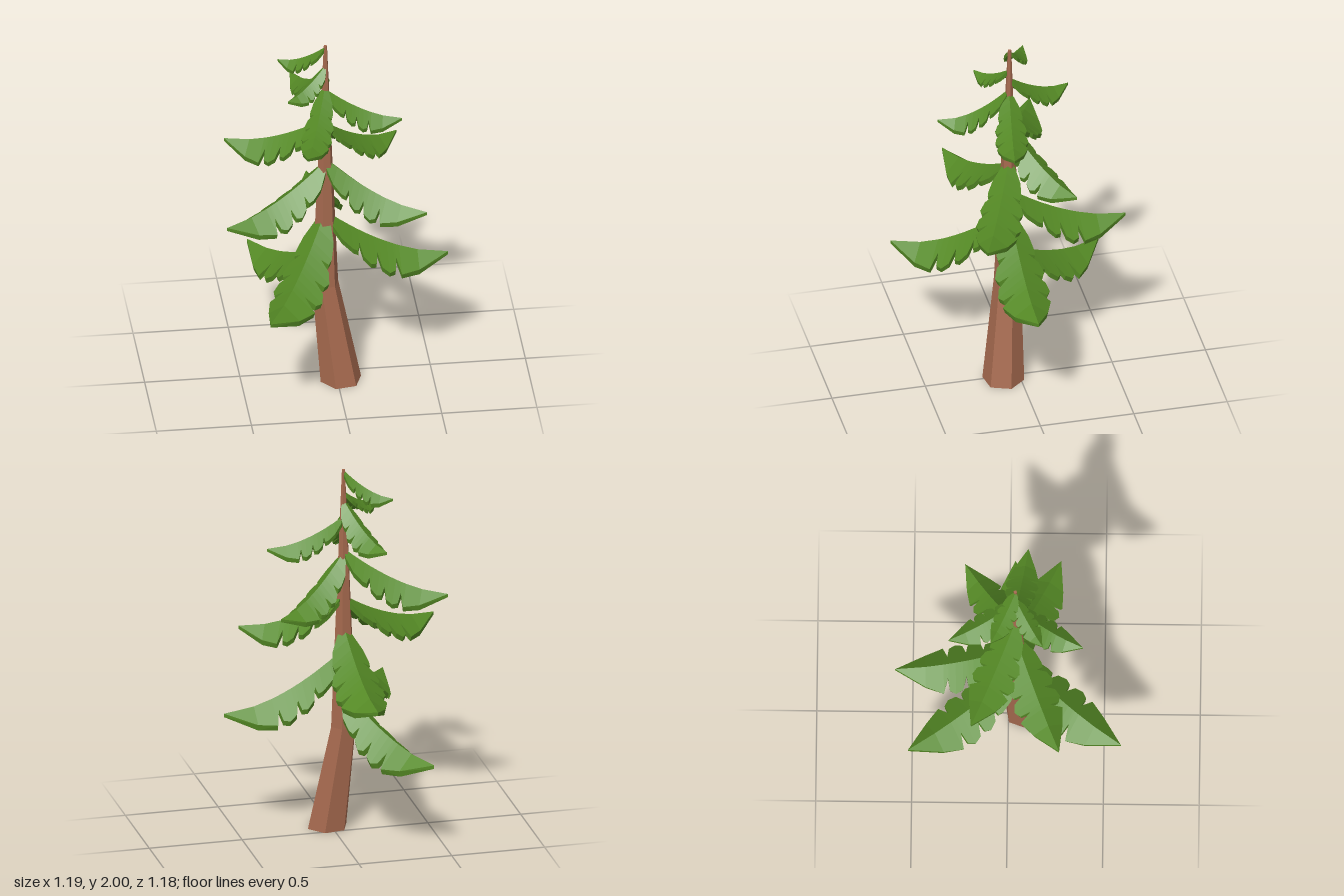
import * as THREE from 'three';

const bark = new THREE.MeshStandardMaterial({ color: 0xa5694e });
bark.name = 'bark';
bark.flatShading = true;
const needles = new THREE.MeshStandardMaterial({ color: 0x558a25 });
needles.name = 'needle green';
needles.flatShading = true;

// Flat-shaded geometry from a list of triangle corners
function fromCorners(corners) {
  const g = new THREE.BufferGeometry();
  g.setAttribute('position', new THREE.Float32BufferAttribute(corners.flat(), 3));
  g.computeVertexNormals();
  return g;
}

// Bent, tapering six-sided trunk: rings of [x, y, z, radius]
function trunkGeometry() {
  const rings = [[0.02, 0, 0.087, 0.11], [-0.058, 0.57, 0.047, 0.071], [-0.055, 2, 0.036, 0.009]];
  const at = ([x, y, z, r], k) => {
    const a = (-10 + 60 * k) * Math.PI / 180;
    return [x + r * Math.cos(a), y, z + r * Math.sin(a)];
  };
  const out = [];
  const [base, top] = [rings[0], rings[rings.length - 1]];
  for (let k = 0; k < 6; k++) {
    for (let i = 0; i < rings.length - 1; i++) {
      const a = at(rings[i], k), b = at(rings[i], k + 1);
      const c = at(rings[i + 1], k + 1), d = at(rings[i + 1], k);
      out.push(a, c, b, a, d, c);
    }
    out.push(base.slice(0, 3), at(base, k), at(base, k + 1));
    out.push(top.slice(0, 3), at(top, k + 1), at(top, k));
  }
  return fromCorners(out);
}

// Scalloped half outline: [fraction of length, half width / length]
const outline = [
  [0, 0], [0.03, 0.06], [0.12, 0.13], [0.21, 0.155], [0.25, 0.15], [0.265, 0.09],
  [0.29, 0.17], [0.35, 0.2], [0.395, 0.18], [0.41, 0.1],
  [0.44, 0.19], [0.5, 0.21], [0.55, 0.18], [0.565, 0.09],
  [0.6, 0.195], [0.75, 0.135], [1, 0],
];

// Drooping frond along +x, folded like a roof over its ridge
function frondGeometry(length, drop) {
  const ridge = t => -drop * (1 - Math.pow(1 - t, 1.8));
  const out = [];
  for (const side of [1, -1]) {
    const section = ([t, w]) => {
      const half = w * (length + 0.015);
      const thick = (0.015 + 0.035 * length) * (t === 1 ? 0.5 : 1);
      const x = t * length, y = ridge(t);
      return {
        r: [x, y, 0], p: [x, y - 0.8 * half, side * half],
        q: [x, y - 0.74 * half - thick, side * half * 0.92], b: [x, y - thick, 0],
      };
    };
    const quad = (a, b, c, d) => {
      if (side > 0) out.push(a, b, c, a, c, d);
      else out.push(a, c, b, a, d, c);
    };
    for (let i = 0; i < outline.length - 1; i++) {
      const s = section(outline[i]), e = section(outline[i + 1]);
      quad(s.r, s.p, e.p, e.r);
      quad(s.p, s.q, e.q, e.p);
      quad(s.q, s.b, e.b, e.q);
    }
  }
  return fromCorners(out);
}

// Fronds: [tip x, tip y, tip z, root y]
const fronds = [
  [-0.40, 0.52, -0.52, 0.78],
  [-0.41, 0.66, 0.59, 1.0],
  [0.59, 0.70, 0.03, 1.0],
  [-0.08, 0.87, -0.59, 1.13],
  [-0.60, 1.07, 0.27, 1.30],
  [0.45, 1.09, 0.27, 1.32],
  [0.35, 1.30, -0.23, 1.54],
  [-0.56, 1.34, -0.19, 1.56],
  [-0.19, 1.53, 0.39, 1.76],
  [0.34, 1.57, 0.10, 1.74],
  [-0.20, 1.65, -0.31, 1.83],
  [-0.27, 1.76, 0.18, 1.88],
  [-0.29, 1.86, -0.09, 1.995],
];

export function createModel() {
  const tree = new THREE.Group();
  tree.name = 'coniferTree';

  const trunk = new THREE.Mesh(trunkGeometry(), bark);
  trunk.name = 'trunk';
  tree.add(trunk);

  fronds.forEach(([x, y, z, rootY], i) => {
    const rootX = -0.056, rootZ = 0.038;
    const dx = x - rootX, dz = z - rootZ;
    const frond = new THREE.Mesh(frondGeometry(Math.hypot(dx, dz), rootY - y), needles);
    frond.name = `branch${i + 1}`;
    frond.position.set(rootX, rootY, rootZ);
    frond.rotation.y = Math.atan2(-dz, dx);
    tree.add(frond);
  });
  return tree;
}
